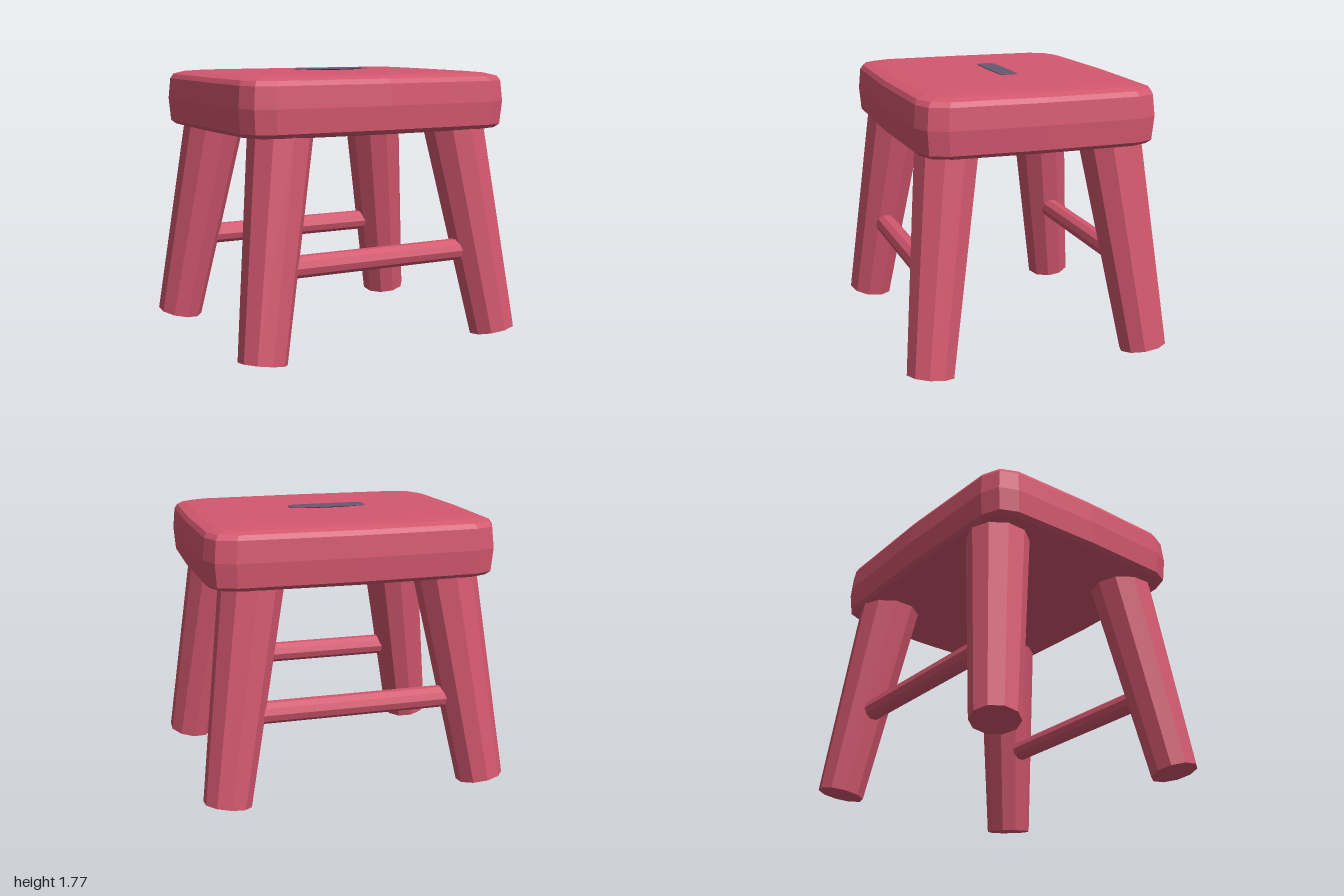
import * as THREE from 'three';

// Stacks scaled copies of an outline: each level is [y, scaleX, scaleZ]; both ends are capped.
function loft(outline, levels) {
  const n = outline.length;
  const pos = [];
  const idx = [];
  for (const [y, sx, sz] of levels) {
    for (const [x, z] of outline) pos.push(x * sx, y, z * sz);
  }
  const bottom = pos.length / 3;
  pos.push(0, levels[0][0], 0, 0, levels[levels.length - 1][0], 0);
  const last = (levels.length - 1) * n;
  for (let j = 0; j < n; j++) {
    const k = (j + 1) % n;
    for (let i = 0; i < last; i += n) {
      idx.push(i + j, i + n + j, i + n + k, i + j, i + n + k, i + k);
    }
    idx.push(bottom, j, k, bottom + 1, last + k, last + j);
  }
  const geo = new THREE.BufferGeometry();
  geo.setAttribute('position', new THREE.Float32BufferAttribute(pos, 3));
  geo.setIndex(idx);
  const flat = geo.toNonIndexed();
  flat.computeVertexNormals();
  return flat;
}

// Mirrors one corner (listed from the +x axis to the +z axis, ends included) into a full outline.
function mirrorOutline(q) {
  const half = [...q, ...q.slice(0, -1).reverse().map(([x, z]) => [-x, z])];
  return [...half, ...half.slice(1, -1).reverse().map(([x, z]) => [x, -z])];
}

export function createModel() {
  const group = new THREE.Group();
  const paint = new THREE.MeshStandardMaterial({ color: 0xd4586f, flatShading: true });
  paint.name = 'rose paint';
  const dark = new THREE.MeshStandardMaterial({ color: 0x665870, flatShading: true });
  dark.name = 'dark grip';

  const add = (name, geo, mat) => {
    const mesh = new THREE.Mesh(geo, mat);
    mesh.name = name;
    group.add(mesh);
    return mesh;
  };

  // Seat: softly bowed slab with rounded rims, levels are [y, inset from the widest outline]
  const seatOutline = mirrorOutline([[0.955, 0], [0.94, 0.61], [0.89, 0.725], [0.77, 0.775], [0, 0.795]]);
  const seatLevels = [
    [1.375, 0.45], [1.385, 0.1], [1.395, 0.04], [1.42, 0.012], [1.57, 0],
    [1.705, 0.012], [1.735, 0.03], [1.752, 0.09], [1.76, 0.18],
  ].map(([y, d]) => [y, 1 - d / 0.955, 1 - d / 0.795]);
  add('seat', loft(seatOutline, seatLevels), paint);

  // Grip inlay on top of the seat
  const gripOutline = mirrorOutline([[0.26, 0], [0.252, 0.048], [0.23, 0.06], [0, 0.065]]);
  add('gripInlay', loft(gripOutline, [[1.766, 0.5, 0.8], [1.772, 1, 1], [1.776, 1, 1], [1.779, 0.9, 0.9]]), dark);

  // Four splayed, tapered legs
  const up = new THREE.Vector3(0, 1, 0);
  for (const sz of [1, -1]) {
    for (const sx of [1, -1]) {
      const foot = new THREE.Vector3(0.85 * sx, 0.034, 0.72 * sz);
      const top = new THREE.Vector3(0.62 * sx, 1.5, 0.525 * sz);
      const axis = top.clone().sub(foot);
      const leg = add(
        (sz > 0 ? 'front' : 'back') + (sx > 0 ? 'Left' : 'Right') + 'Leg',
        new THREE.CylinderGeometry(0.208, 0.153, axis.length(), 10), paint);
      leg.position.copy(foot).add(top).multiplyScalar(0.5);
      leg.quaternion.setFromUnitVectors(up, axis.normalize());
    }
    // Rung joining this pair of legs
    const rung = add(sz > 0 ? 'frontRung' : 'backRung', new THREE.CylinderGeometry(0.071, 0.071, 1.4, 10), paint);
    rung.rotation.z = Math.PI / 2;
    rung.position.set(0, 0.59, 0.645 * sz);
  }
  return group;
}
